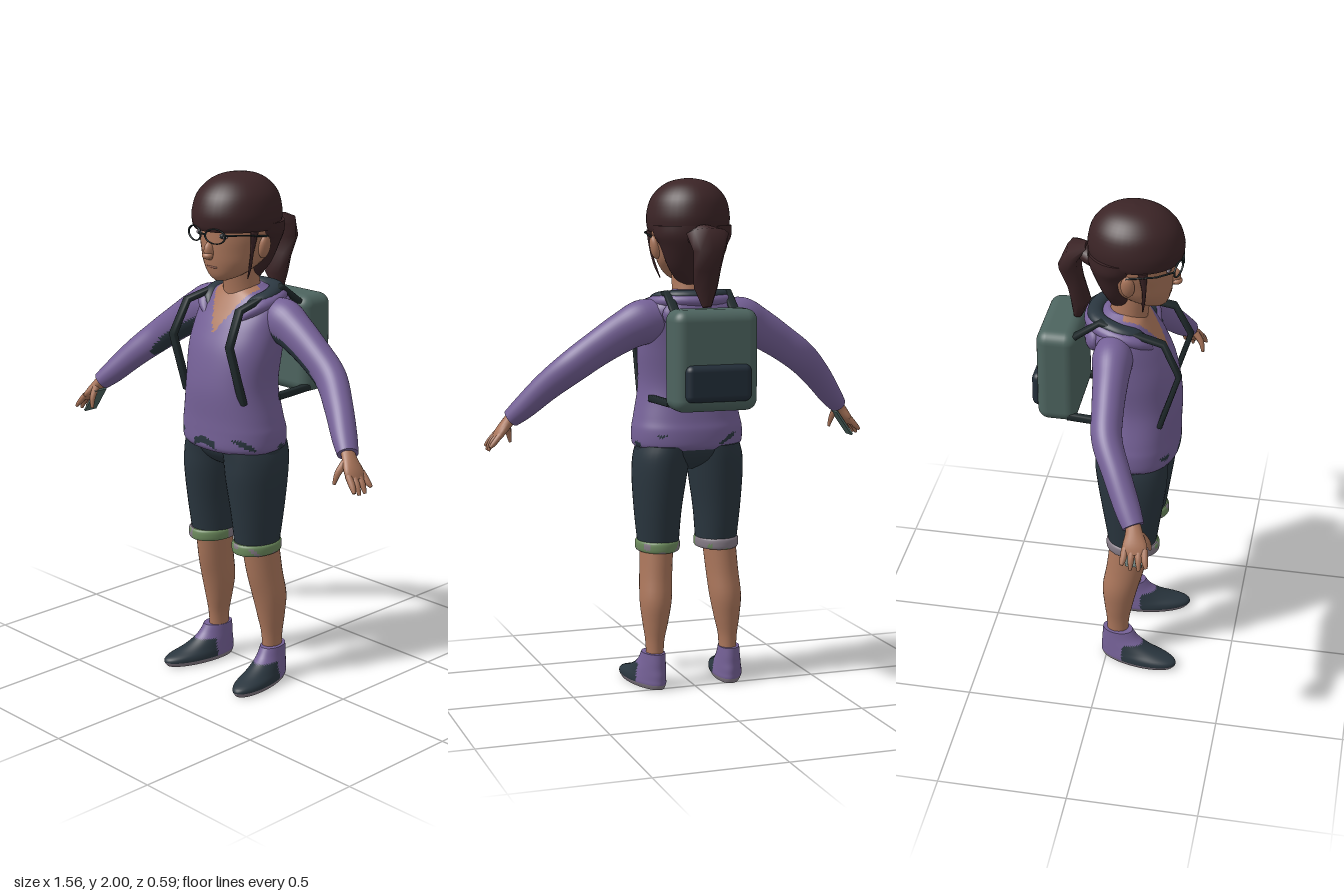
import * as THREE from 'three';
import { RoundedBoxGeometry } from 'three/addons/geometries/RoundedBoxGeometry.js';

const mat = (name, color) => Object.assign(new THREE.MeshStandardMaterial({ color }), { name });
const V = (x, y, z) => new THREE.Vector3(x, y, z);

// Smooth interpolation of one ring row between its neighbours
function between(rows, i, t) {
  const at = k => rows[Math.min(Math.max(k, 0), rows.length - 1)];
  return rows[i].map((p1, k) => {
    const p0 = at(i - 1)[k], p2 = at(i + 1)[k], p3 = at(i + 2)[k];
    const m1 = (p2 - p0) / 2, m2 = (p3 - p1) / 2, d = p2 - p1;
    return p1 + t * (m1 + t * (3 * d - 2 * m1 - m2 + t * (m1 + m2 - 2 * d)));
  });
}

// Skin over elliptical rings [x, y, z, a, b]; flat keeps the rings level,
// otherwise they follow the path with radius a lying along ref.
// paint(point, outwardDirection) gives the material index of each face.
function loft(rows, { n = 24, steps = 4, flat = false, ref = V(1, 0, 0), e = 2, paint } = {}) {
  const rings = [];
  for (let i = 0; i < rows.length - 1; i++)
    for (let k = 0; k < steps; k++) rings.push(between(rows, i, k / steps));
  rings.push(rows[rows.length - 1]);
  const centres = rings.map(r => V(r[0], r[1], r[2]));
  const pos = [], faces = [[], [], []], last = rings.length - 1;
  const power = c => Math.sign(c) * Math.abs(c) ** (2 / e);
  rings.forEach((r, i) => {
    const t = flat ? V(0, 1, 0)
      : centres[Math.min(i + 1, last)].clone().sub(centres[Math.max(i - 1, 0)]).normalize();
    const u = ref.clone().addScaledVector(t, -ref.dot(t)).normalize();
    const v = t.clone().cross(u);
    for (let j = 0; j < n; j++) {
      const q = j / n * Math.PI * 2;
      pos.push(...centres[i].clone().addScaledVector(u, r[3] * power(Math.cos(q)))
        .addScaledVector(v, r[4] * power(Math.sin(q))).toArray());
    }
  });
  const point = k => V(pos[3 * k], pos[3 * k + 1], pos[3 * k + 2]);
  const add = (i, a, b, c) => {
    const p = point(a).add(point(b)).add(point(c)).divideScalar(3);
    faces[paint ? paint(p, p.clone().sub(centres[i]).normalize()) : 0].push(a, b, c);
  };
  for (let i = 0; i < last; i++) for (let j = 0; j < n; j++) {
    const a = i * n + j, b = i * n + (j + 1) % n;
    add(i, a, b, b + n);
    add(i, a, b + n, a + n);
  }
  // End caps with their own corners
  for (const i of [0, last]) {
    const start = pos.length / 3;
    for (let j = 0; j < n; j++) pos.push(...point(i * n + j).toArray());
    pos.push(...centres[i].toArray());
    for (let j = 0; j < n; j++) {
      const a = start + j, b = start + (j + 1) % n;
      i ? add(i, a, b, start + n) : add(i, b, a, start + n);
    }
  }
  const g = new THREE.BufferGeometry();
  g.setAttribute('position', new THREE.Float32BufferAttribute(pos, 3));
  g.setIndex(faces.flat());
  let from = 0;
  faces.forEach((f, k) => { if (f.length) g.addGroup(from, f.length, k); from += f.length; });
  g.computeVertexNormals();
  return g;
}

export function createModel() {
  const purple = mat('purple cloth', 0x756197), navy = mat('dark cloth', 0x2a363f);
  const hair = mat('hair brown', 0x3b2426), skin = mat('skin', 0xac775c);
  const green = mat('pack green', 0x4d645f), pocketBlue = mat('pocket blue', 0x222d38);
  const black = mat('strap black', 0x1f292b), grey = mat('sole grey', 0x857b86);
  const cuffGreen = mat('cuff green', 0x6c8a5d), lip = mat('lip', 0x8c5a4b);
  const root = new THREE.Group();
  const add = (name, geo, material, p = [0, 0, 0], scale = [1, 1, 1]) => {
    if (!Array.isArray(material)) geo.clearGroups();
    const m = new THREE.Mesh(geo, material);
    m.name = name;
    m.position.set(...p);
    m.scale.set(...scale);
    root.add(m);
    return m;
  };
  const ball = new THREE.SphereGeometry(1, 20, 14);
  // Level rings given as [y, z, half width, half depth, x]
  const level = (rows, o = {}) => loft(rows.map(([y, z, a, b, x = 0]) => [x, y, z, a, b]), { flat: true, ...o });

  // Hoodie body with open neckline, a dark mark at the front and dark flecks on the hem
  const hem = p => p.y < 1.015 && Math.abs(p.x) > .08 && Math.sin(p.x * 41 + p.y * 70) + Math.sin(p.z * 47 - p.y * 40) > 1.5;
  add('hoodieBody', level([[.955, .1, .205, .15], [.975, .1, .22, .162], [1.03, .1, .221, .163],
    [1.08, .105, .211, .158], [1.2, .112, .19, .152], [1.33, .095, .199, .145], [1.42, .07, .2, .132],
    [1.49, .043, .195, .118], [1.535, .035, .16, .098], [1.56, .037, .1, .08], [1.575, .04, .07, .06]], {
    n: 112, steps: 6, e: 2.2, paint: p => hem(p) ? 2 : p.z < .05 ? 0
      : p.y > 1.4 && Math.abs(p.x) < (p.y - 1.4) * .58 ? 1
        : Math.abs(p.x) < .06 && Math.abs(p.y - .995 + p.x * p.x * 5) < .014 ? 2 : 0 }), [purple, skin, navy]);
  add('neck', level([[1.5, .05, .08, .075], [1.57, .06, .07, .072], [1.68, .075, .068, .075]]), skin);

  // Hood lying on the shoulders, with its dark lining
  const hoodPath = [[.085, 1.47, .148], [.12, 1.515, .115], [.135, 1.54, .04], [.085, 1.55, -.045]];
  const hoodRing = (a, b, lift, pull) => [...hoodPath, [0, 1.55, -.07], ...hoodPath.map(([x, y, z]) => [-x, y, z]).reverse()]
    .map(([x, y, z], i) => [x * pull, y + lift, z * pull, (i % 8 ? a : a * .3), (i % 8 ? b : b * .3)]);
  add('hoodEdge', loft(hoodRing(.026, .034, -.014, 1.07), { ref: V(0, 1, 0) }), purple);
  add('hoodLining', loft(hoodRing(.021, .03, .006, .96), { ref: V(0, 1, 0) }), navy);
  add('hoodBack', ball, purple, [0, 1.485, -.055], [.15, .075, .05]);

  // Head and face
  add('head', level([[1.603, .165, .025, .025], [1.625, .14, .07, .066], [1.67, .105, .11, .113],
    [1.72, .085, .128, .139], [1.78, .08, .141, .147], [1.86, .08, .14, .145], [1.93, .08, .1, .1]], { n: 36 }), skin);
  add('nose', ball, skin, [0, 1.72, .222], [.018, .036, .028]);
  add('noseTip', ball, skin, [0, 1.703, .235], [.022, .014, .02]);
  add('mouth', ball, lip, [0, 1.658, .209], [.03, .006, .008]);
  for (const s of [1, -1]) {
    const side = s > 0 ? 'left' : 'right';
    add(side + 'Ear', ball, skin, [s * .138, 1.735, .075], [.018, .046, .026]).rotation.z = -s * .2;
    add(side + 'Eye', ball, grey, [s * .06, 1.78, .212], [.024, .01, .008]);
    add(side + 'Iris', ball, black, [s * .06, 1.78, .218], [.008, .008, .005]);
    add(side + 'LensRim', new THREE.TorusGeometry(.044, .0038, 8, 32), black,
      [s * .055, 1.783, .248], [1, .62, 1]).rotation.y = s * .22;
    add(side + 'GlassesArm', loft([[s * .097, 1.79, .238], [s * .145, 1.79, .18], [s * .152, 1.775, .07]]
      .map(p => [...p, .0035, .0035]), { n: 6, steps: 1 }), black);
    add(side + 'HairStrand', loft([[s * .142, 1.8, .13, .012, .018], [s * .134, 1.72, .135, .005, .008],
      [s * .118, 1.66, .13, .005, .006], [s * .1, 1.615, .125, .002, .002]], { n: 8 }), hair);
  }
  add('glassesBridge', new THREE.BoxGeometry(.024, .006, .006), black, [0, 1.787, .255]);

  // Hair
  add('hairCap', level([[1.796, .083, .152, .168], [1.815, .083, .158, .176], [1.86, .083, .16, .178],
    [1.92, .08, .145, .16], [1.965, .077, .108, .12], [1.99, .075, .062, .07], [2, .075, .004, .004]], { n: 40 }), hair);
  add('hairBack', level([[1.595, .04, .05, .055], [1.66, .02, .1, .065], [1.74, .015, .132, .095],
    [1.78, .025, .152, .118], [1.82, .035, .157, .13]], { n: 32 }), hair);
  add('hairTie', loft([[0, 1.775, -.06, .07, .04], [0, 1.785, -.1, .05, .035], [0, 1.79, -.125, .035, .026]], { n: 12 }), hair);
  add('ponytail', loft([[0, 1.815, -.1, .03, .012], [0, 1.795, -.145, .085, .034], [0, 1.73, -.165, .064, .045],
    [0, 1.66, -.143, .055, .034], [0, 1.59, -.125, .048, .04], [0, 1.515, -.138, .018, .016]], { n: 8, steps: 1 }), hair);

  for (const s of [1, -1]) {
    const side = s > 0 ? 'left' : 'right', Z = V(0, 0, 1);
    const path = rows => rows.map(([x, ...r]) => [s * x, ...r]);
    // Sleeve with a dark patch under the arm
    add(side + 'Sleeve', loft(path([[.1, 1.465, .025, .06, .06], [.19, 1.455, .03, .075, .086], [.27, 1.42, .037, .066, .078],
      [.37, 1.36, .045, .059, .069], [.47, 1.29, .06, .056, .064], [.56, 1.21, .112, .051, .056],
      [.64, 1.125, .165, .047, .046], [.685, 1.08, .195, .04, .036]]), { n: 40, steps: 6, ref: Z,
      paint: (p, d) => Math.abs(Math.abs(p.x) - .33) < .14 && d.y < -.4 && d.z > .1 ? 1 : 0 }), [purple, navy]);
    // Hand, fingers and thumb
    add(side + 'Palm', loft(path([[.675, 1.095, .19, .026, .022], [.7, 1.062, .2, .032, .022],
      [.728, 1.025, .207, .045, .019], [.745, 1.0, .212, .04, .013]]), { n: 16, ref: Z }), skin);
    [[.174, .168, .972], [.198, .2, .955], [.222, .23, .955], [.243, .257, .967]].forEach(([z0, z1, y], i) =>
      add(side + 'Finger' + (i + 1), loft(path([[.733, 1.02, z0, .013, .012], [.76, .988, (z0 + z1) / 2, .012, .011],
        [.776, y, z1, .006, .006]]), { n: 8, ref: Z }), skin));
    add(side + 'Thumb', loft(path([[.695, 1.06, .215, .016, .014], [.685, 1.02, .245, .012, .012],
      [.676, .978, .255, .006, .006]]), { n: 8, ref: Z }), skin);

    // Shorts leg, rolled patterned cuff and bare leg
    add(side + 'ShortsLeg', level([[.56, .097, .08, .092, s * .121], [.7, .096, .092, .113, s * .123],
      [.84, .094, .106, .134, s * .117], [.92, .09, .109, .141, s * .11], [.97, .09, .105, .143, s * .1]], { n: 32 }), navy);
    const fleck = p => Math.sin(p.x * 95 + p.y * 60) + Math.sin(p.z * 80 - p.y * 90);
    add(side + 'Cuff', level([[.543, .1, .078, .098, s * .123], [.55, .1, .086, .105, s * .123],
      [.578, .1, .087, .105, s * .123], [.587, .1, .08, .098, s * .123]], { n: 56, steps: 3,
      paint: p => s > 0 ? (fleck(p) > 1.2 ? 0 : 1) : (p.x > -.13 && p.z > .1 || fleck(p) > 1.5 ? 1 : 0) }), [grey, cuffGreen]);
    add(side + 'Leg', level([[.08, .045, .034, .042, s * .152], [.18, .045, .036, .045, s * .153],
      [.26, .047, .05, .057, s * .15], [.35, .053, .063, .071, s * .146], [.45, .073, .064, .076, s * .139],
      [.58, .09, .066, .08, s * .13]], { n: 28 }), skin);
    // Shoe with pale sole, dark toe and purple ankle
    add(side + 'Shoe', level([[0, .135, .054, .15], [.018, .138, .063, .16], [.036, .132, .062, .154],
      [.056, .1, .056, .122], [.08, .075, .051, .094], [.108, .057, .046, .075], [.142, .047, .042, .062]], { n: 56,
      paint: p => p.y < .018 ? 0 : p.z > .085 && p.y < .09 ? 1 : 2 }), [grey, navy, purple], [s * .15, 0, 0]).rotation.y = s * .19;

    // Shoulder strap and lower strap
    add(side + 'ShoulderStrap', loft(path([[.12, 1.49, -.13, .018, .011], [.12, 1.565, -.03, .018, .011],
      [.143, 1.51, .21, .018, .011], [.155, 1.385, .272, .018, .011], [.155, 1.155, .203, .018, .011]]),
      { n: 12, steps: 1, e: 4 }), black);
    add(side + 'LowerStrap', loft(path([[.15, 1.155, -.15, .014, .014], [.167, 1.155, .035, .014, .014]]),
      { n: 12, steps: 1, e: 4 }), black);
  }
  add('shortsHips', level([[.865, .092, .06, .03], [.885, .092, .12, .08], [.91, .09, .18, .115],
    [.945, .09, .212, .138], [.985, .09, .21, .145]], { n: 40 }), navy);

  // Flat card held in the right palm
  add('palmCard', new THREE.BoxGeometry(.008, .12, .06), green, [-.715, .998, .207]).rotation.z = -.62;

  // Backpack
  add('backpack', new RoundedBoxGeometry(.335, .385, .155, 4, .045), green, [0, 1.322, -.192]);
  add('backpackPocket', new RoundedBoxGeometry(.26, .14, .06, 4, .025), pocketBlue, [0, 1.24, -.265]);
  return root;
}
